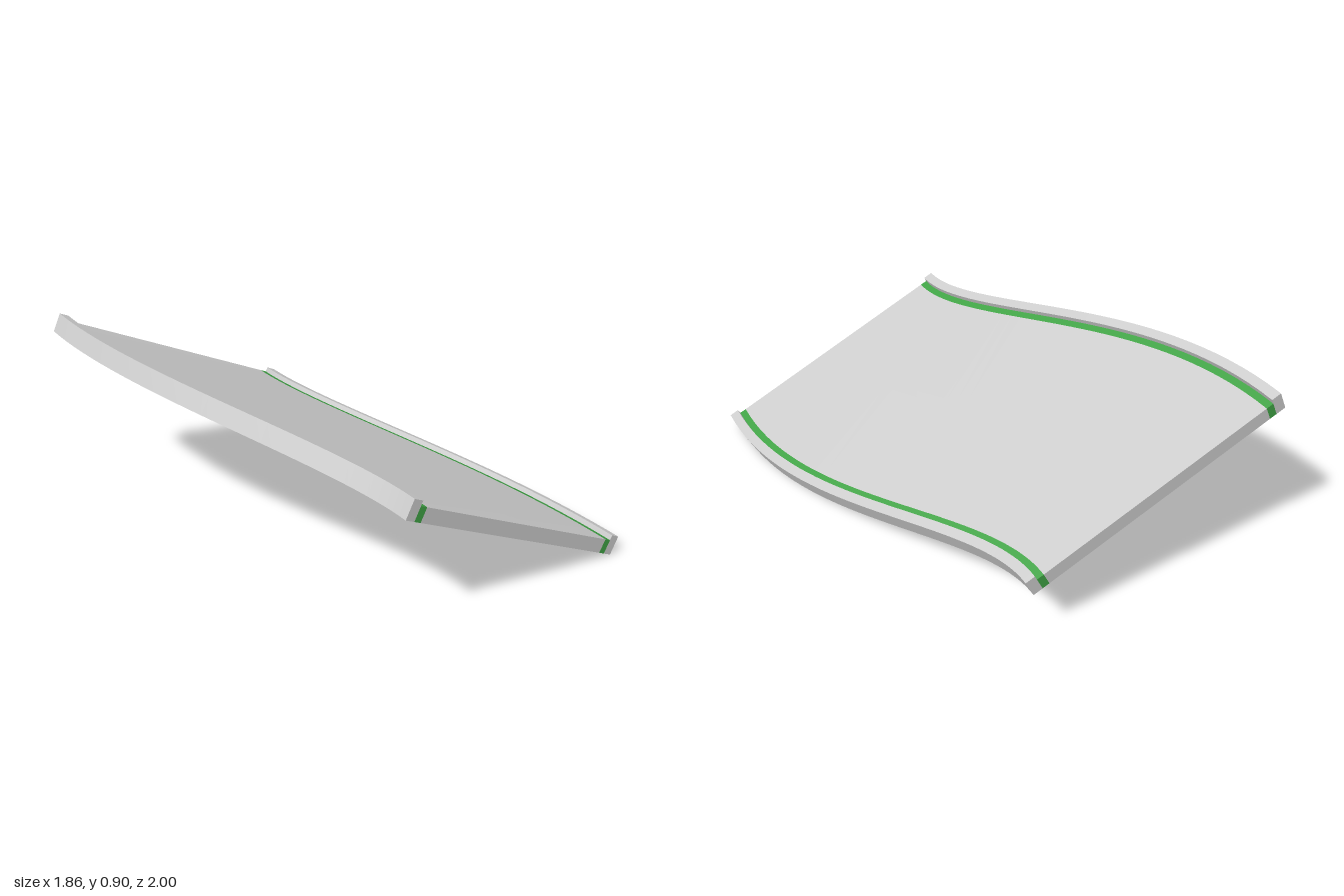
import * as THREE from 'three';

const SEGMENTS = 40;
const BANK = THREE.MathUtils.degToRad(25.3);

// Sections along the banked S-shaped path, square to its direction
function makeFrames() {
  const across = new THREE.Vector3(Math.cos(BANK), -Math.sin(BANK), 0);
  const frames = [];
  for (let i = 0; i <= SEGMENTS; i++) {
    const z = -1 + (2 * i) / SEGMENTS;
    const s = Math.sin((z * Math.PI) / 2);
    const slope = (Math.cos((z * Math.PI) / 2) * Math.PI) / 2;
    const origin = new THREE.Vector3(-0.02 + 0.325 * s, 0.409 - 0.13 * s, z);
    const tangent = new THREE.Vector3(0.325 * slope, -0.13 * slope, 1).normalize();
    const right = across.clone().addScaledVector(tangent, -across.dot(tangent)).normalize();
    const up = tangent.clone().cross(right);
    frames.push({ origin, right, up });
  }
  return frames;
}

// Sweep a rectangle (u0..u1 across, 0..h up) with sharp long edges
function sweepStrip(frames, u0, u1, h) {
  const corners = [[u0, 0], [u1, 0], [u1, h], [u0, h]];
  const positions = [];
  const index = [];
  const add = (f, [u, v]) => {
    const p = f.origin.clone().addScaledVector(f.right, u).addScaledVector(f.up, v);
    positions.push(p.x, p.y, p.z);
  };
  // Four long sides
  for (let k = 0; k < 4; k++) {
    const base = positions.length / 3;
    frames.forEach((f, i) => {
      add(f, corners[k]);
      add(f, corners[(k + 1) % 4]);
      if (i < SEGMENTS) {
        const a = base + 2 * i;
        index.push(a, a + 1, a + 3, a, a + 3, a + 2);
      }
    });
  }
  // End caps
  for (const front of [false, true]) {
    const b = positions.length / 3;
    corners.forEach((c) => add(frames[front ? SEGMENTS : 0], c));
    if (front) index.push(b, b + 1, b + 2, b, b + 2, b + 3);
    else index.push(b, b + 2, b + 1, b, b + 3, b + 2);
  }
  const geometry = new THREE.BufferGeometry();
  geometry.setAttribute('position', new THREE.Float32BufferAttribute(positions, 3));
  geometry.setIndex(index);
  geometry.computeVertexNormals();
  return geometry;
}

export function createModel() {
  const group = new THREE.Group();
  group.name = 'bankedTrackCurve';
  const frames = makeFrames();
  const grey = new THREE.MeshStandardMaterial({ color: 0xcccccc });
  const white = new THREE.MeshStandardMaterial({ color: 0xf6f6f6 });
  const green = new THREE.MeshStandardMaterial({ color: 0x3fa244 });

  const addStrip = (name, u0, u1, h, material) => {
    const mesh = new THREE.Mesh(sweepStrip(frames, u0, u1, h), material);
    mesh.name = name;
    group.add(mesh);
  };

  const slab = 0.068;
  const wall = 0.092;
  const lineHalf = 0.018;
  const laneEdge = 0.568;
  const wallInner = 0.602;
  const wallOuter = 0.648;

  addStrip('centreLine', -lineHalf, lineHalf, slab, white);
  // Lane, edge stripe and kerb wall on both sides
  for (const [side, sign] of [['left', 1], ['right', -1]]) {
    const mirrored = (name, a, b, h, material) =>
      addStrip(side + name, Math.min(sign * a, sign * b), Math.max(sign * a, sign * b), h, material);
    mirrored('Lane', lineHalf, laneEdge, slab, grey);
    mirrored('EdgeStripe', laneEdge, wallInner, slab, green);
    mirrored('Wall', wallInner, wallOuter, wall, grey);
  }
  return group;
}
